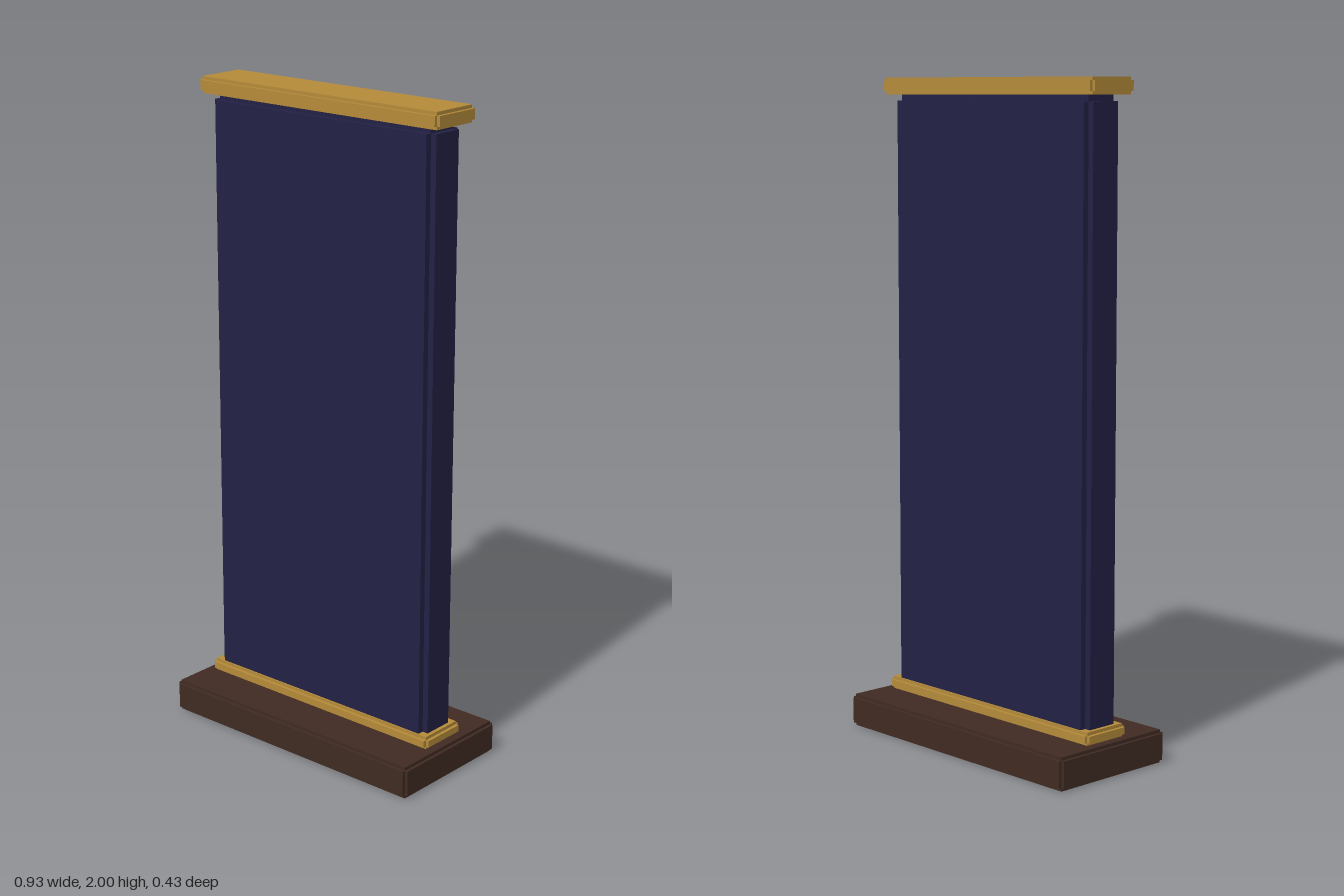
import * as THREE from 'three';

const mat = (name, color) => {
  const m = new THREE.MeshStandardMaterial({ color });
  m.name = name;
  return m;
};

// Box with stepped edges: three overlapping boxes, each full size along one axis
function steppedBox(name, w, y0, y1, d, step, material) {
  const group = new THREE.Group();
  group.name = name;
  const size = [w, y1 - y0, d];
  ['Width', 'Height', 'Depth'].forEach((label, axis) => {
    const s = size.map((v, i) => (i === axis ? v : v - 2 * step));
    const mesh = new THREE.Mesh(new THREE.BoxGeometry(...s), material);
    mesh.name = name + label;
    group.add(mesh);
  });
  group.position.y = (y0 + y1) / 2;
  return group;
}

export function createModel() {
  const wood = mat('darkWood', 0x402b22);
  const gold = mat('gold', 0xb58b3a);
  const navy = mat('navy', 0x222145);

  const model = new THREE.Group();
  model.name = 'standingPanel';
  model.add(
    steppedBox('base', 0.934, 0, 0.1, 0.427, 0.01, wood),
    steppedBox('lowerTrim', 0.876, 0.098, 0.139, 0.163, 0.01, gold),
    steppedBox('panel', 0.832, 0.1, 1.951, 0.136, 0.019, navy),
    steppedBox('topCap', 0.898, 1.95, 2, 0.173, 0.01, gold),
  );
  return model;
}
